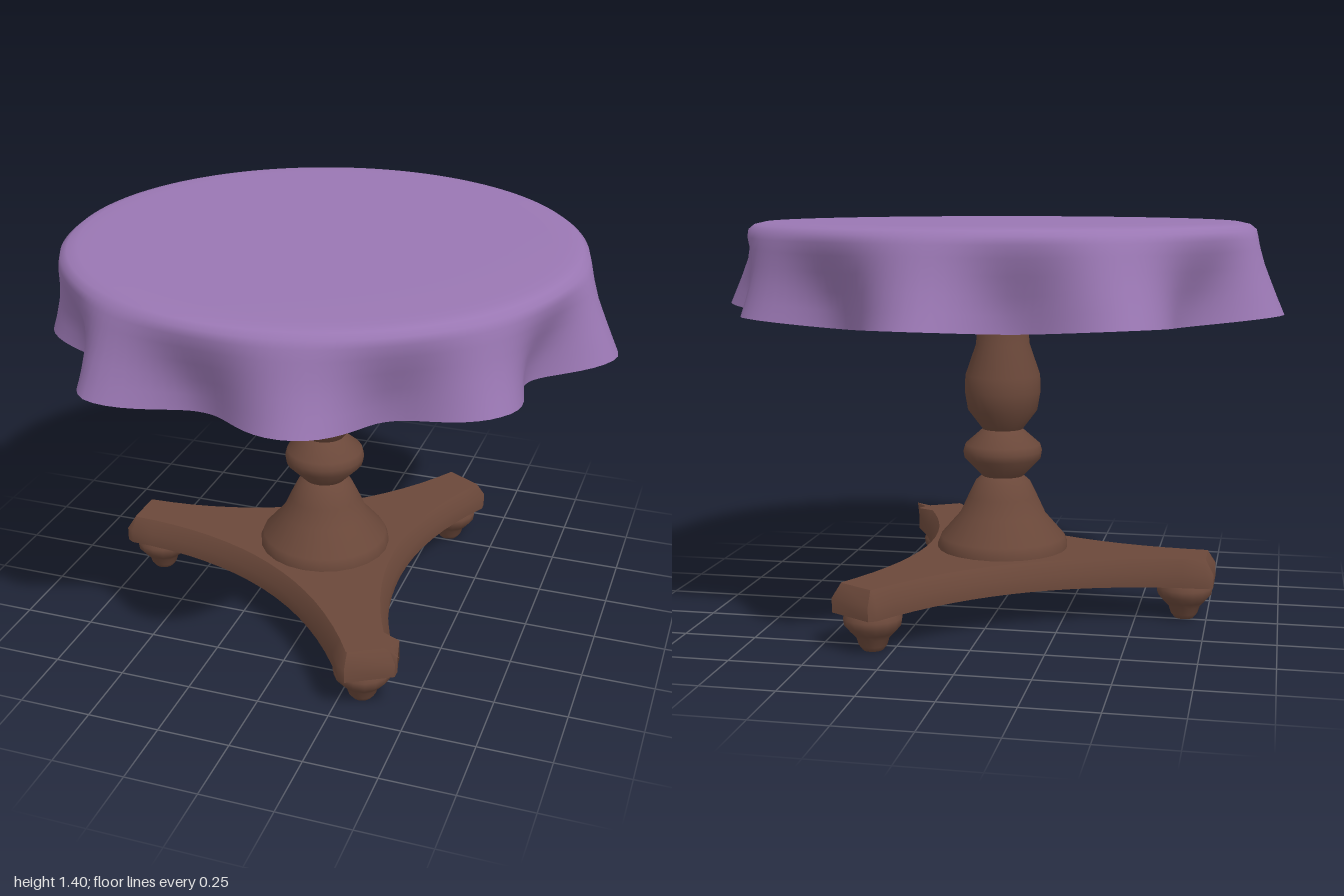
import * as THREE from 'three';
import { mergeVertices, toCreasedNormals } from 'three/addons/utils/BufferGeometryUtils.js';

const TAU = Math.PI * 2;
const { degToRad, lerp } = THREE.MathUtils;

function lathe(name, profile, segments, crease, material) {
  const points = profile.map(([r, y]) => new THREE.Vector2(r, y));
  const mesh = new THREE.Mesh(toCreasedNormals(new THREE.LatheGeometry(points, segments), crease), material);
  mesh.name = name;
  return mesh;
}

// Three-armed plinth with concave sides and a bevelled top edge
function plinthGeometry() {
  const shape = new THREE.Shape();
  const at = (angle, r, side) => [
    r * Math.cos(angle) - side * Math.sin(angle),
    r * Math.sin(angle) + side * Math.cos(angle),
  ];
  shape.moveTo(...at(-Math.PI / 3, 0.765, 0.095));
  for (let i = 0; i < 3; i++) {
    const arm = Math.PI / 3 + (i * TAU) / 3;
    shape.quadraticCurveTo(...at(arm - Math.PI / 3, 0.13, 0), ...at(arm, 0.74, -0.1));
    shape.lineTo(...at(arm, 0.765, -0.085));
    shape.lineTo(...at(arm, 0.765, 0.085));
    shape.lineTo(...at(arm, 0.74, 0.1));
  }
  const geo = new THREE.ExtrudeGeometry(shape, {
    depth: 0.05, bevelThickness: 0.048, bevelSize: 0.028, bevelOffset: -0.028,
    bevelSegments: 1, curveSegments: 16,
  });
  // Flatten the lower bevel into the underside
  const p = geo.attributes.position;
  for (let i = 0; i < p.count; i++) p.setZ(i, Math.max(0, p.getZ(i)));
  geo.rotateX(-Math.PI / 2);
  return toCreasedNormals(geo, 0.75);
}

// Cloth: flat top, rounded rim, then a skirt falling in nine uneven folds
function clothGeometry() {
  const foldAngle = [1, 38, 76.5, 118.5, 157, 191, 236.5, 276.5, 318, 361].map(degToRad);
  const foldReach = [1.01, 0.96, 0.97, 1.0, 0.925, 1.0, 0.99, 0.99, 0.965, 1.01];
  // rows: valley radius, fold radius, valley height, fold height, fold openness
  const rows = [
    [0, 0, 1.405, 1.405, 0], [0.4, 0.4, 1.405, 1.405, 0], [0.76, 0.76, 1.405, 1.405, 0],
    [0.825, 0.825, 1.404, 1.404, 0], [0.86, 0.86, 1.396, 1.396, 0], [0.88, 0.883, 1.38, 1.38, 0],
    [0.884, 0.896, 1.355, 1.355, 0.1], [0.877, 0.91, 1.315, 1.32, 0.25],
    [0.858, 0.928, 1.26, 1.27, 0.5], [0.836, 0.952, 1.2, 1.215, 0.75],
    [0.82, 0.976, 1.14, 1.16, 0.9], [0.815, 1.0, 1.085, 1.106, 1],
  ];
  const perFold = 20;
  const columns = perFold * 9;
  const geo = new THREE.PlaneGeometry(1, 1, columns, rows.length - 1);
  const p = geo.attributes.position;
  rows.forEach(([rValley, rFold, yValley, yFold, open], j) => {
    for (let i = 0; i <= columns; i++) {
      const c = (columns - i) % columns;
      const k = Math.floor(c / perFold);
      const f = (c % perFold) / perFold;
      const w = Math.pow(0.5 + 0.5 * Math.cos(f * TAU), 1.15);
      const reach = lerp(foldReach[k], foldReach[k + 1], f);
      const angle = lerp(foldAngle[k], foldAngle[k + 1], f) + 0.02 * open * Math.sin(f * TAU);
      const r = lerp(rValley, rFold + (reach - 1) * open, w);
      p.setXYZ(j * (columns + 1) + i, r * Math.cos(angle), lerp(yValley, yFold, w), r * Math.sin(angle));
    }
  });
  // Weld the seam so the normals run smoothly around
  geo.deleteAttribute('uv');
  geo.deleteAttribute('normal');
  const welded = mergeVertices(geo, 1e-5);
  welded.computeVertexNormals();
  return welded;
}

export function createModel() {
  const wood = new THREE.MeshStandardMaterial({ color: 0x6b483a });
  wood.name = 'brown wood';
  const fabric = new THREE.MeshStandardMaterial({ color: 0x9a77b3, side: THREE.DoubleSide });
  fabric.name = 'purple cloth';

  const table = new THREE.Group();
  table.name = 'pedestalTable';

  // Stand
  const stand = new THREE.Group();
  stand.name = 'stand';
  stand.position.set(-0.01, 0, 0.03);
  table.add(stand);

  const plinth = new THREE.Mesh(plinthGeometry(), wood);
  plinth.name = 'plinth';
  plinth.position.y = 0.135;
  stand.add(plinth);

  stand.add(lathe('column', [
    [0.235, 0.225], [0.235, 0.25], [0.225, 0.275], [0.155, 0.355], [0.125, 0.42], [0.098, 0.475],
    [0.075, 0.495], [0.138, 0.56], [0.142, 0.585], [0.135, 0.61], [0.072, 0.665], [0.125, 0.735],
    [0.136, 0.8], [0.134, 0.86], [0.096, 0.97], [0.086, 1.09], [0.084, 1.14], [0.095, 1.19],
  ], 24, 1.2, wood));

  // Turned feet, one under each arm
  for (let i = 0; i < 3; i++) {
    const angle = Math.PI / 3 + (i * TAU) / 3;
    const foot = lathe('foot', [
      [0, 0.003], [0.035, 0.003], [0.048, 0.02], [0.056, 0.045], [0.075, 0.065],
      [0.096, 0.09], [0.1, 0.115], [0.085, 0.137],
    ], 16, 1.0, wood);
    foot.position.set(0.66 * Math.cos(angle), 0, 0.66 * Math.sin(angle));
    stand.add(foot);
  }

  // Round top under the cloth
  const top = lathe('tableTop', [
    [0, 1.185], [0.77, 1.185], [0.785, 1.2], [0.785, 1.3], [0.84, 1.34], [0.84, 1.38], [0.82, 1.39], [0, 1.39],
  ], 64, 0.6, wood);
  top.position.set(-0.01, 0, 0.02);
  table.add(top);

  const cloth = new THREE.Mesh(clothGeometry(), fabric);
  cloth.name = 'tablecloth';
  cloth.position.set(-0.01, 0, 0.02);
  table.add(cloth);

  return table;
}
